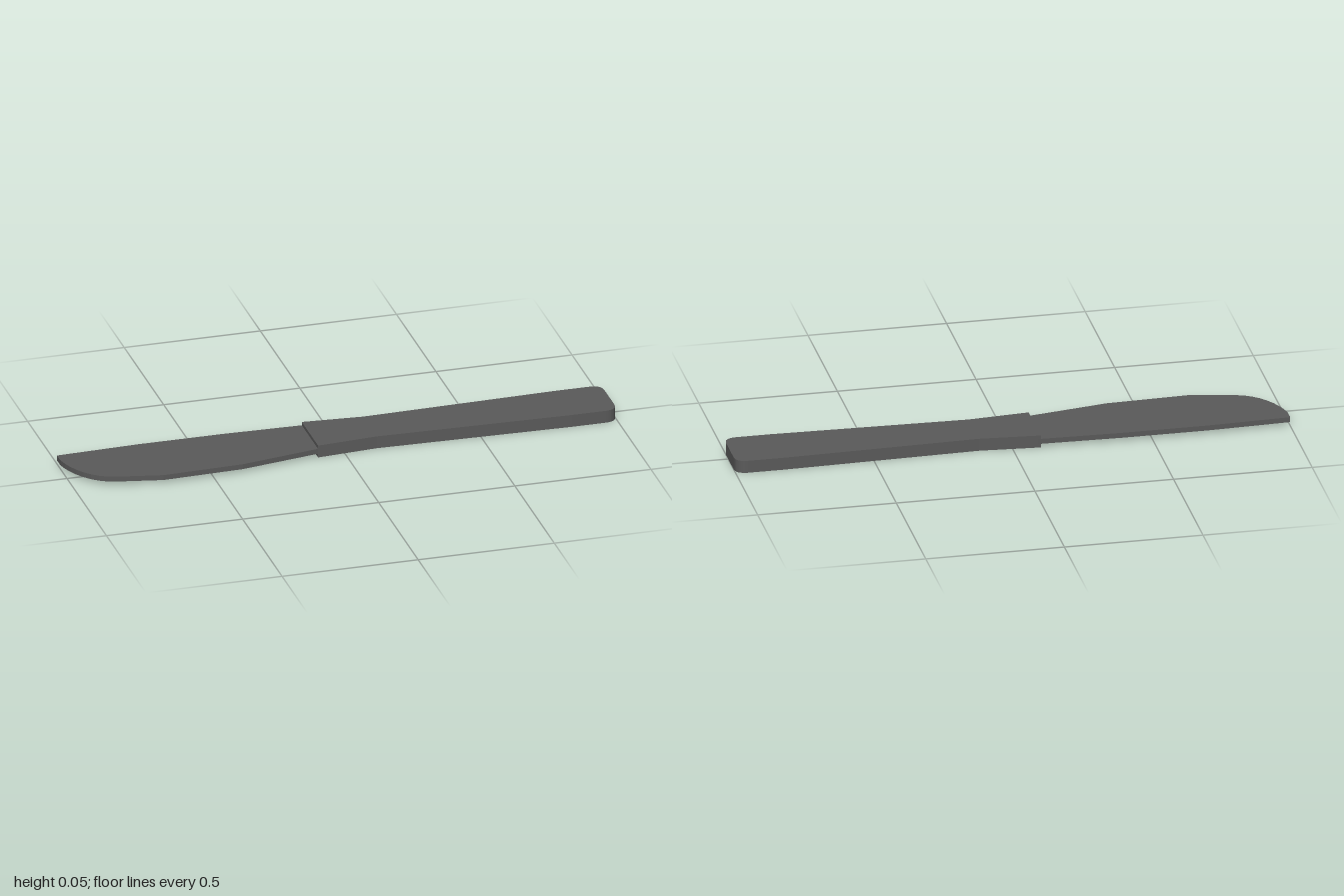
import * as THREE from 'three';

// Extrude a plan outline (x, -z) upward from y0 to y1
function slab(name, shape, y0, y1, material) {
  const geometry = new THREE.ExtrudeGeometry(shape, {
    depth: y1 - y0, bevelEnabled: false, curveSegments: 8,
  });
  geometry.rotateX(-Math.PI / 2);
  geometry.translate(0, y0, 0);
  const mesh = new THREE.Mesh(geometry, material);
  mesh.name = name;
  return mesh;
}

export function createModel() {
  const group = new THREE.Group();
  group.name = 'knife';
  const darkGrey = new THREE.MeshStandardMaterial({ color: 0x5a5a5a, flatShading: true });
  darkGrey.name = 'darkGrey';

  // Blade: nearly straight spine, bellied edge and rounded tip
  const blade = new THREE.Shape();
  blade.moveTo(-0.09, 0.13);
  blade.lineTo(-0.39, 0.138);
  blade.lineTo(-0.7, 0.138);
  blade.lineTo(-1, 0.127);
  blade.lineTo(-1, 0.085);
  blade.bezierCurveTo(-0.985, 0.0, -0.93, -0.085, -0.85, -0.102);
  blade.lineTo(-0.685, -0.136);
  blade.lineTo(-0.39, -0.126);
  blade.lineTo(-0.09, -0.074);
  blade.closePath();
  group.add(slab('blade', blade, 0.014, 0.033, darkGrey));

  // Handle: waisted near the blade, rounded corners at the butt
  const handle = new THREE.Shape();
  handle.moveTo(-0.1, -0.077);
  handle.lineTo(0.12, -0.06);
  handle.lineTo(0.83, -0.079);
  handle.lineTo(0.957, -0.079);
  handle.quadraticCurveTo(1, -0.077, 1, -0.035);
  handle.lineTo(1, 0.09);
  handle.quadraticCurveTo(1, 0.131, 0.957, 0.132);
  handle.lineTo(0.83, 0.132);
  handle.lineTo(0.12, 0.113);
  handle.lineTo(-0.1, 0.13);
  handle.closePath();
  group.add(slab('handle', handle, 0, 0.046, darkGrey));

  return group;
}
